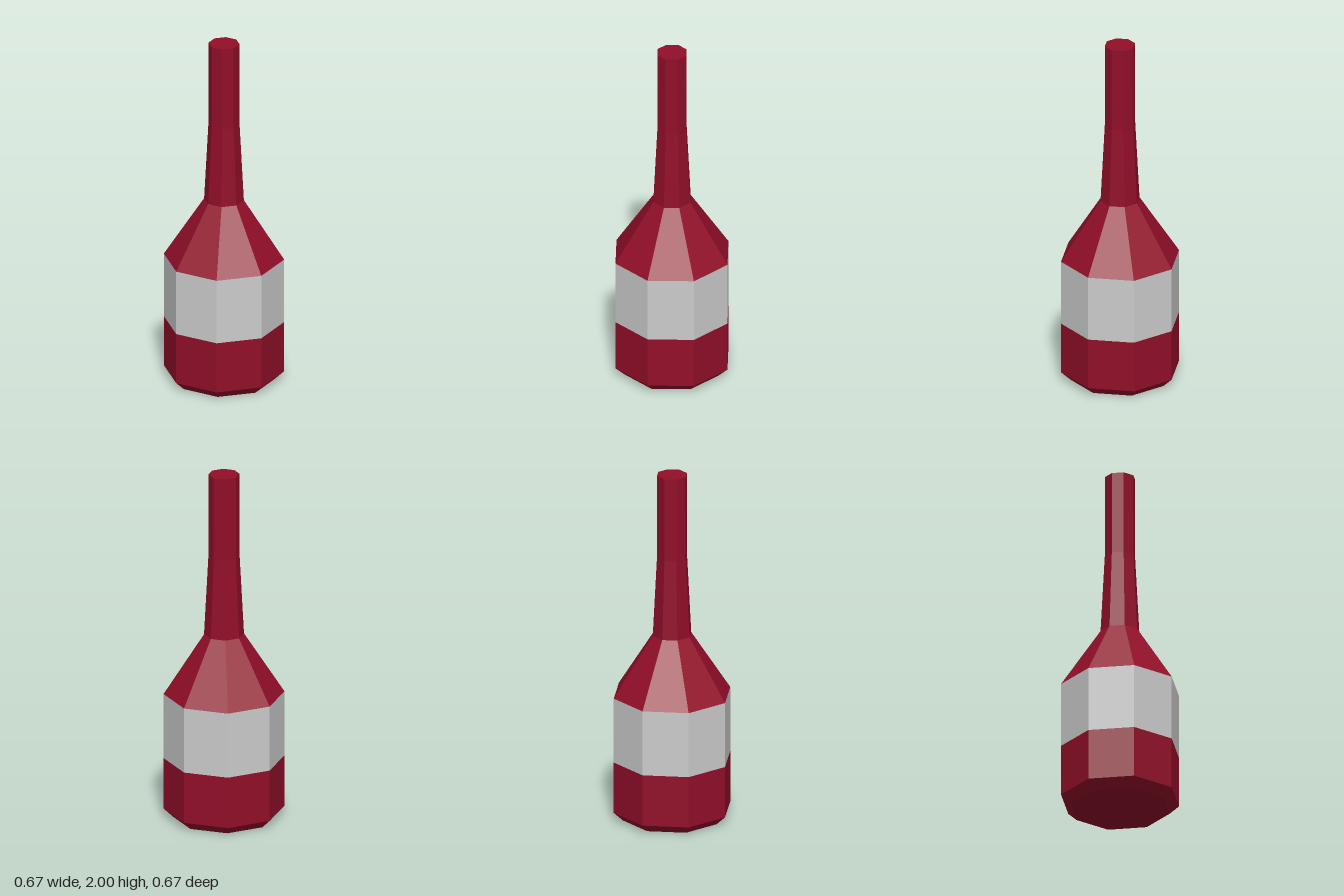
import * as THREE from 'three';

const SIDES = 8;
const glass = new THREE.MeshStandardMaterial({ color: 0x920e29, flatShading: true });
const paper = new THREE.MeshStandardMaterial({ color: 0xcccccc, flatShading: true });

// Faceted ring of revolution from [radius, y] pairs, listed bottom to top
function turned(name, profile, material) {
  const points = profile.map(([r, y]) => new THREE.Vector2(r, y));
  const mesh = new THREE.Mesh(new THREE.LatheGeometry(points, SIDES), material);
  mesh.name = name;
  return mesh;
}

export function createModel() {
  const bottle = new THREE.Group();
  bottle.name = 'bottle';
  bottle.add(
    // Closed base with a chamfered foot
    turned('base', [[0, 0], [0.28, 0], [0.333, 0.05], [0.333, 0.345]], glass),
    // Plain band flush with the body
    turned('label', [[0.333, 0.345], [0.333, 0.72]], paper),
    // Sloping shoulder
    turned('shoulder', [[0.333, 0.72], [0.11, 1.065]], glass),
    // Tapering neck with a flat closed top
    turned('neck', [[0.11, 1.065], [0.086, 1.52], [0.086, 2], [0, 2]], glass),
  );
  return bottle;
}
